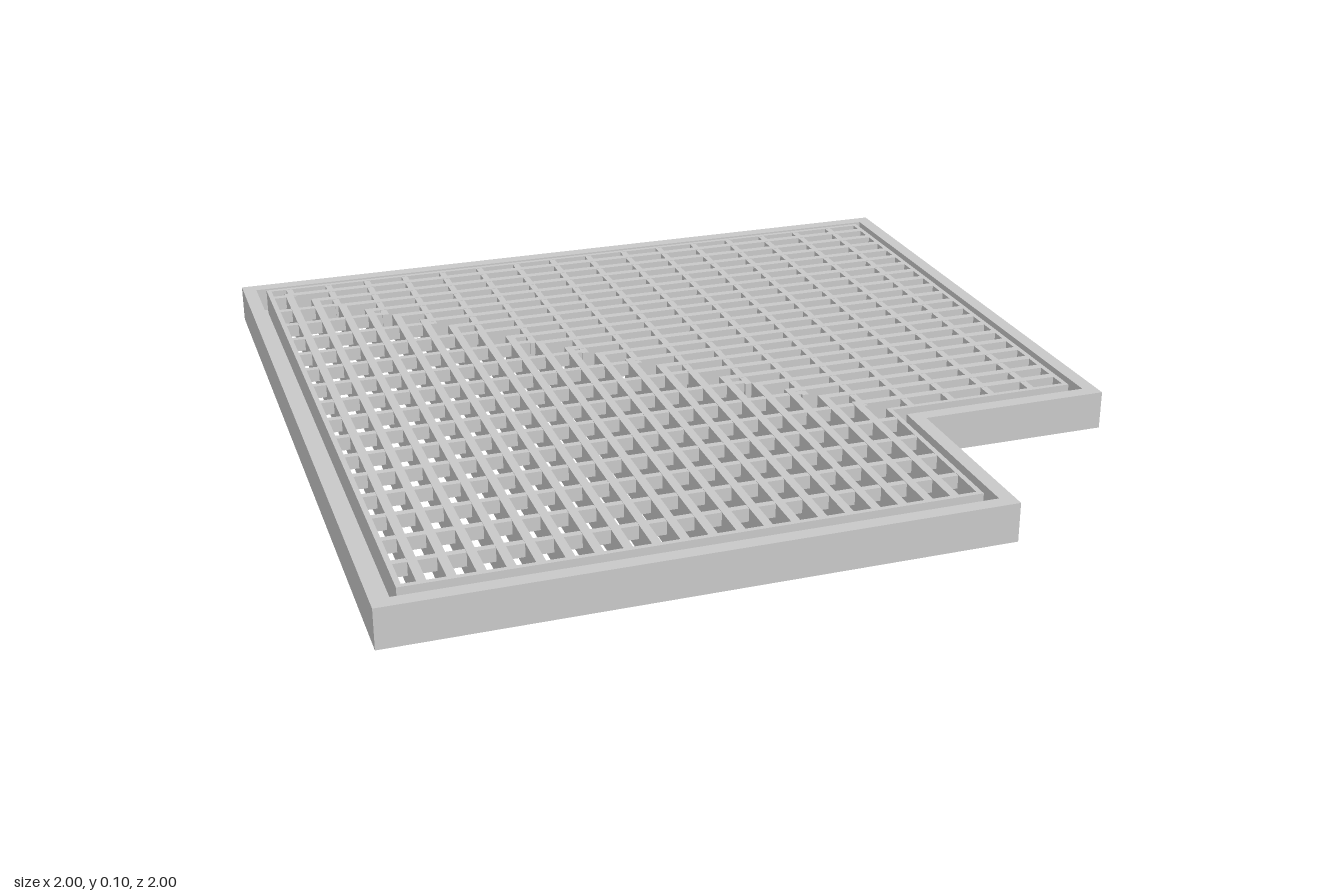
import * as THREE from 'three';
import { mergeGeometries } from 'three/addons/utils/BufferGeometryUtils.js';

const TOP = 0.105, LEDGE = 0.035, EDGE = 0.93, CORNER = 0.43;

// L-shaped plan outline, inset by d from the outer edge
const outline = (d) => [
  [-1 + d, -1 + d], [1 - d, -1 + d], [1 - d, 0.5 - d],
  [0.5 - d, 0.5 - d], [0.5 - d, 1 - d], [-1 + d, 1 - d],
].map(([x, z]) => new THREE.Vector2(x, z));

// L-shaped ring between two insets, from height y0 to y1
function ring(outer, inner, y0, y1) {
  const shape = new THREE.Shape(outline(outer));
  shape.holes.push(new THREE.Path(outline(inner)));
  const g = new THREE.ExtrudeGeometry(shape, { depth: y1 - y0, bevelEnabled: false });
  return g.rotateX(Math.PI / 2).translate(0, y1, 0);
}

const box = (x0, x1, y0, y1, z0, z1) =>
  new THREE.BoxGeometry(x1 - x0, y1 - y0, z1 - z0)
    .translate((x0 + x1) / 2, (y0 + y1) / 2, (z0 + z1) / 2);

export function createModel() {
  const group = new THREE.Group();
  const material = new THREE.MeshStandardMaterial({ color: 0xcccccc });
  const add = (name, geometry) => {
    const mesh = new THREE.Mesh(geometry, material);
    mesh.name = name;
    group.add(mesh);
  };

  // Angle frame: upright rim and the ledge carrying the grating
  add('frameRim', ring(0, 0.037, 0, 0.1));
  add('frameLedge', ring(0.037, 0.08, 0, LEDGE));

  // Flat band around the grating
  add('gratingBand', ring(0.063, 0.076, LEDGE, TOP));

  // Bearing bars: nested right angles that meet along the diagonal
  const bars = [], h = 0.011;
  for (let i = 0; i < 20; i++) {
    const p = -0.88 + i * 0.0657;
    bars.push(box(p - h, EDGE, LEDGE, TOP, p - h, p + h));
    bars.push(box(p - h, p + h, LEDGE, TOP, p + h, EDGE));
  }
  add('bearingBars', mergeGeometries(bars));

  // Cross bars: wider spacing, each ending at the diagonal or the inner corner
  const cross = [], w = 0.009;
  for (let k = 0; k < 16; k++) {
    const p = 0.835 - k * 0.1138;
    const end = Math.min(p + w, CORNER);
    cross.push(box(p - w, p + w, 0.07, TOP - 0.001, -EDGE, end));
    const q = 0.822 - k * 0.113;
    cross.push(box(-EDGE, Math.min(q + w, CORNER), 0.07, TOP - 0.001, q - w, q + w));
  }
  add('crossBars', mergeGeometries(cross));

  return group;
}
